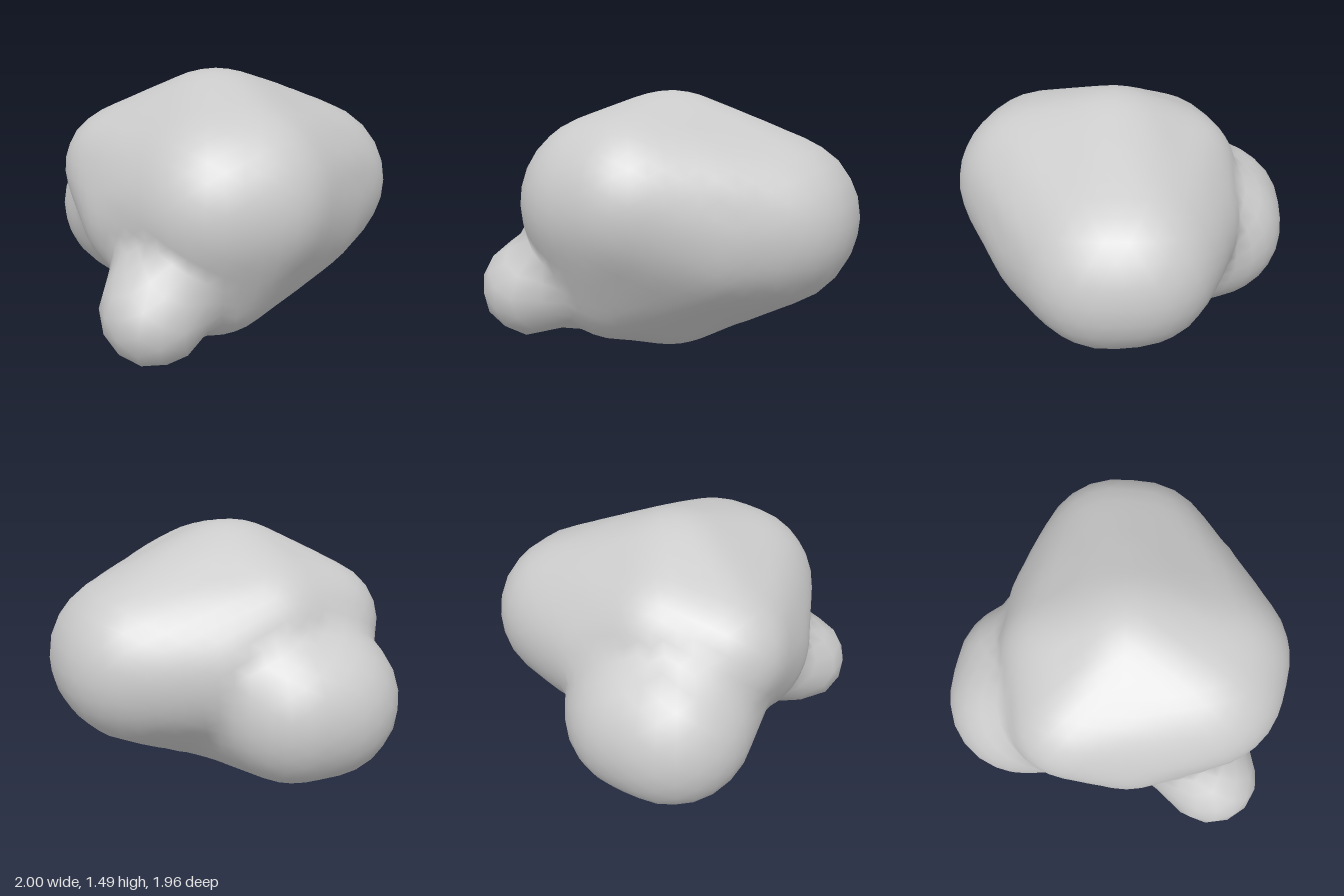
import * as THREE from 'three';
import { mergeVertices } from 'three/addons/utils/BufferGeometryUtils.js';

// Each mass is a taut skin around a few balls: x, y, z, radius
const UNDERSIDE = [-0.08, 0.50, 0.11, 0.50];
const MAIN_MASS = [
  UNDERSIDE,
  [-0.28, 0.88, 0.47, 0.49],  // front bulge
  [-0.14, 0.89, 0.50, 0.49],
  [-0.28, 0.50, 0.38, 0.42],  // lower front
  [-0.08, 0.97, 0.08, 0.51],  // crown
  [0.53, 0.77, -0.02, 0.47],  // left flank
  [0.53, 0.76, 0.11, 0.47],
  [0.25, 0.72, 0.35, 0.42],   // front left
  [0.15, 0.77, -0.20, 0.45],  // back left
  [-0.15, 0.91, -0.22, 0.44], // back shoulder
  [-0.42, 0.75, 0.08, 0.46],  // right flank
  [-0.50, 0.90, -0.22, 0.36], // right shoulder
];
const BACK_MASS = [
  UNDERSIDE,
  [-0.33, 0.55, -0.53, 0.45], // back bulge
  [-0.17, 0.55, -0.51, 0.45],
  [-0.30, 0.70, -0.15, 0.47], // root inside the rock
];
const KNOB_MASS = [
  [-0.72, 0.39, 0.60, 0.28],  // knob end
  [-0.28, 0.62, 0.22, 0.38],  // root inside the rock
];
const CORE = new THREE.Vector3(-0.12, 0.68, 0.06);
const BLEND = 0.015;

function sphere(detail) {
  const ball = new THREE.IcosahedronGeometry(1, detail);
  ball.deleteAttribute('normal');
  ball.deleteAttribute('uv');
  return mergeVertices(ball, 1e-4);
}

function directions(geometry) {
  const position = geometry.attributes.position;
  return Array.from({ length: position.count }, (_, i) =>
    new THREE.Vector3().fromBufferAttribute(position, i).normalize());
}

const NORMALS = directions(sphere(14));

// Returns the reach of a skin from the core in any direction
function skin(balls) {
  const planes = NORMALS.map((n) => Math.max(...balls.map(([x, y, z, r]) =>
    n.x * (x - CORE.x) + n.y * (y - CORE.y) + n.z * (z - CORE.z) + r)));
  return (dir) => {
    let reach = Infinity;
    NORMALS.forEach((n, i) => {
      const facing = n.dot(dir);
      if (facing > 0.05) reach = Math.min(reach, planes[i] / facing);
    });
    return reach;
  };
}

// Wraps a sphere onto the softly joined skins of all masses
function rockGeometry() {
  const skins = [MAIN_MASS, BACK_MASS, KNOB_MASS].map(skin);
  const geometry = sphere(10);
  directions(geometry).forEach((dir, i) => {
    const reaches = skins.map((reachOf) => reachOf(dir));
    const top = Math.max(...reaches);
    const sum = reaches.reduce((s, r) => s + Math.exp((r - top) / BLEND), 0);
    const p = CORE.clone().addScaledVector(dir, top + BLEND * Math.log(sum));
    geometry.attributes.position.setXYZ(i, p.x, p.y, p.z);
  });
  geometry.computeVertexNormals();
  return geometry;
}

export function createModel() {
  const group = new THREE.Group();
  group.name = 'boulder';
  const rock = new THREE.Mesh(rockGeometry(), new THREE.MeshStandardMaterial({ color: 0xcccccc }));
  rock.name = 'rock';
  group.add(rock);
  return group;
}
